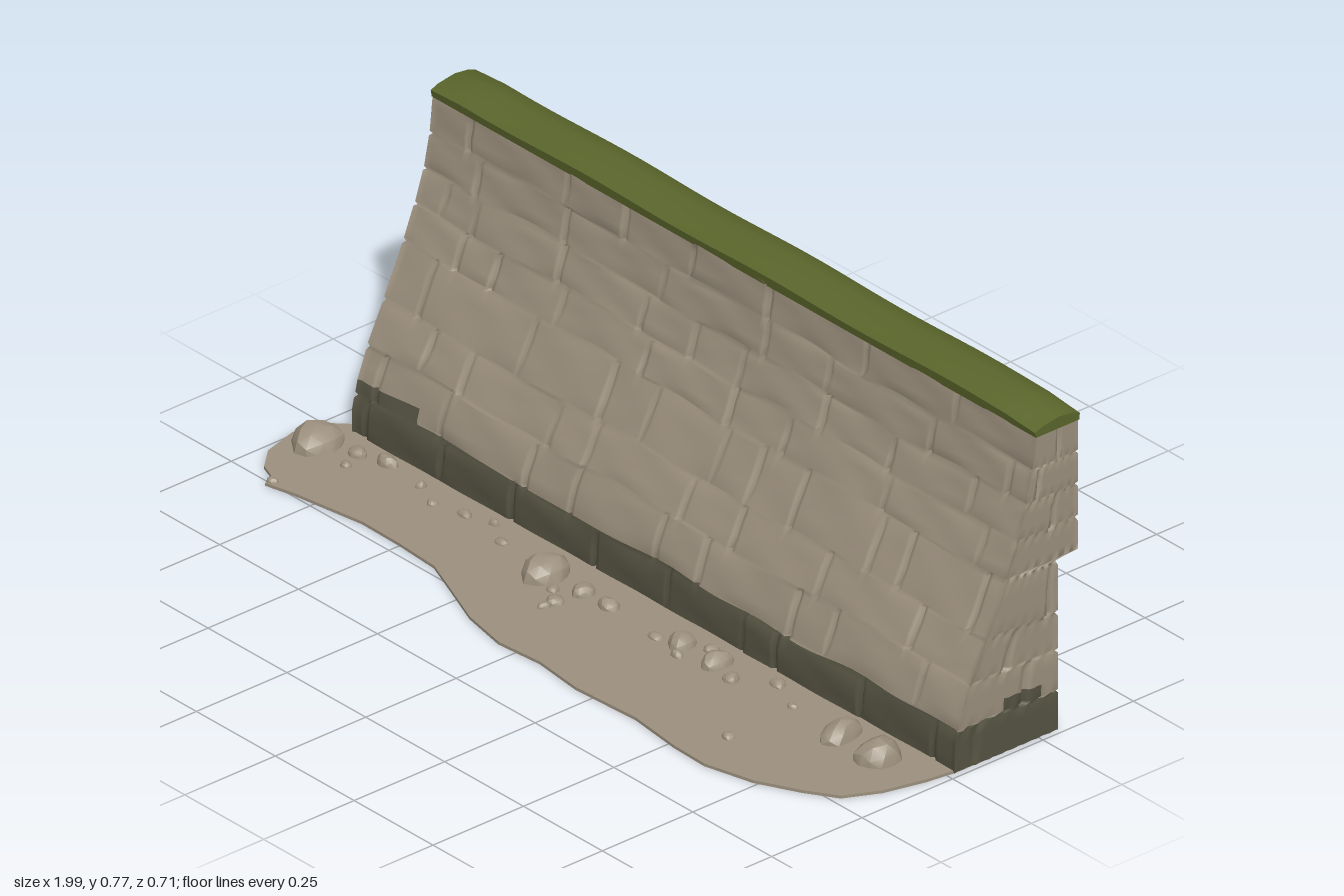
import * as THREE from 'three';
import { toCreasedNormals, mergeGeometries } from 'three/addons/utils/BufferGeometryUtils.js';

const X0 = -0.92, X1 = 0.99;
const COURSES = [0.006, 0.1, 0.2, 0.29, 0.41, 0.49, 0.57, 0.65, 0.735];
// Front slope as [y, z]
const FRONT = [[0, -0.014], [0.08, -0.014], [0.1, -0.022], [0.13, -0.028], [0.2, -0.055], [0.3, -0.105],
  [0.41, -0.155], [0.5, -0.19], [0.57, -0.212], [0.65, -0.228], [0.74, -0.238]];

function seeded(seed) {
  let s = seed;
  return () => (s = (s * 16807) % 2147483647) / 2147483647;
}

function frontZ(y) {
  for (let i = 1; i < FRONT.length; i++) {
    const [ya, za] = FRONT[i - 1], [yb, zb] = FRONT[i];
    if (y <= yb) return za + (zb - za) * (y - ya) / (yb - ya);
  }
  return FRONT[FRONT.length - 1][1];
}
const backZ = (y) => (y < 0.413 ? -0.3 : -0.355); // upper back overhangs in a ledge

// Rows: a groove line at each course boundary and a few rows across each course
function makeRows() {
  const rows = [];
  for (let c = 0; c < COURSES.length - 1; c++) {
    const a = COURSES[c], b = COURSES[c + 1];
    [a, a + 0.006, a + (b - a) / 3, a + (b - a) * 2 / 3, b - 0.006].forEach((y, k) => {
      rows.push({ y, course: c, k, groove: k === 0 && c > 0 ? 0.007 : 0 });
    });
  }
  rows.push({ y: 0.735, course: COURSES.length - 2, k: 5, groove: 0 });
  return rows;
}

// One face of the wall: a grid with mortar grooves and uneven blocks
function wallFace(side, columns, materials) {
  const rnd = seeded(311 + side * 977), rows = makeRows();
  const lengthwise = side % 2 === 0;
  // Vertical joints and block offsets for each course
  const blocks = COURSES.map(() => {
    const joint = {}, offset = [];
    let next = Math.floor(rnd() * 20) + 5, depth = rnd() * 0.004;
    for (let i = 0; i <= columns; i++) {
      if (i === next && i < columns - 2) {
        joint[i] = { from: rnd() < 0.35 ? 2 : 0, to: rnd() < 0.35 ? 3 : 5, depth: 0.006 + rnd() * 0.006 };
        depth = rnd() * 0.004;
        next += lengthwise ? 12 + Math.floor(rnd() * 30) : 99;
      }
      offset.push(depth);
    }
    return { joint, offset };
  });
  const pos = [], index = [[], []];
  rows.forEach(({ y, course, k, groove }) => {
    const zf = frontZ(y), zb = backZ(y);
    for (let i = 0; i <= columns; i++) {
      const u = i / columns, edge = i === 0 || i === columns;
      const { joint, offset } = blocks[course];
      let d = groove * (0.65 + 0.5 * Math.sin(u * 37 + course * 2.3 + side));
      const j = joint[i];
      if (!groove) d = offset[i] + 0.0015 * Math.sin(u * 53 + k * 2 + course * 5);
      if (j && k >= j.from && k <= j.to) d += j.depth;
      if (edge) d = groove * 0.7;
      const g = groove * 0.7;
      const across = X0 + g + u * (X1 - X0 - 2 * g);
      const along = zf - g + u * (zb - zf + 2 * g);
      const x = side === 0 ? across : side === 1 ? X1 - d : side === 2 ? X0 + X1 - across : X0 + d;
      const z = side === 0 ? zf - d : side === 1 ? along : side === 2 ? zb + d : zf + zb - along;
      const wave = y > 0.05 && y < 0.7 ? 0.004 * Math.sin(x * 9 + course) + 0.002 * Math.sin(x * 23 + z * 20) : 0;
      pos.push(x, y + wave, z);
    }
  });
  const w = columns + 1;
  for (let r = 0; r < rows.length - 1; r++) {
    for (let i = 0; i < columns; i++) {
      const a = r * w + i, x = pos[a * 3], z = pos[a * 3 + 2];
      // Damp footing, creeping higher in a few places
      const patch = side === 0 ? x < -0.73 : side === 1 ? z < -0.14 && z > -0.25 : side === 3;
      const damp = rows[r].y < 0.099 || (patch && rows[r].y < 0.11);
      index[damp ? 1 : 0].push(a, a + 1, a + w + 1, a, a + w + 1, a + w);
    }
  }
  const geo = new THREE.BufferGeometry();
  geo.setAttribute('position', new THREE.Float32BufferAttribute(pos, 3));
  geo.setIndex([...index[0], ...index[1]]);
  geo.addGroup(0, index[0].length, 0);
  geo.addGroup(index[0].length, index[1].length, 1);
  geo.computeVertexNormals();
  const mesh = new THREE.Mesh(geo, materials);
  mesh.name = ['wallFront', 'wallLeftEnd', 'wallBack', 'wallRightEnd'][side];
  return mesh;
}

// Rounded moss strip along the top, sagging a little at its ends
function mossCap(material) {
  const outline = [[-0.237, 0.728], [-0.234, 0.75], [-0.255, 0.764], [-0.3, 0.776], [-0.338, 0.768],
    [-0.358, 0.755], [-0.357, 0.728]].map(([z, y]) => new THREE.Vector2(-z, y));
  const geo = new THREE.ExtrudeGeometry(new THREE.Shape(outline), { depth: X1 - X0 + 0.006, steps: 40, bevelEnabled: false });
  geo.rotateY(Math.PI / 2);
  geo.translate(X0 - 0.003, 0, 0);
  const p = geo.attributes.position;
  for (let i = 0; i < p.count; i++) {
    const x = p.getX(i), y = p.getY(i);
    if (y < 0.74) continue;
    const end = Math.max(0, 1 - Math.min(x - X0, X1 - x) / 0.09);
    p.setY(i, y - (y - 0.735) * 0.4 * end + 0.0025 * Math.sin(x * 11) - 0.001);
  }
  const mesh = new THREE.Mesh(toCreasedNormals(geo, 0.6), material);
  mesh.name = 'mossCap';
  return mesh;
}

// Thin irregular apron of earth in front, continuing under the wall
function groundApron(material) {
  const edge = [[-0.93, -0.05], [-0.98, 0], [-1, 0.08], [-0.975, 0.17], [-0.93, 0.22], [-0.89, 0.235], [-0.875, 0.265],
    [-0.8, 0.247], [-0.62, 0.22], [-0.5, 0.222], [-0.38, 0.23], [-0.28, 0.27], [-0.17, 0.315], [-0.05, 0.34], [0.07, 0.33],
    [0.2, 0.345], [0.38, 0.335], [0.52, 0.352], [0.62, 0.355], [0.74, 0.325], [0.84, 0.275], [0.91, 0.23],
    [0.95, 0.15], [0.975, 0.05], [0.985, -0.02], [0.985, -0.295], [-0.915, -0.295], [-0.915, -0.06]];
  const shape = new THREE.Shape(edge.map(([x, z]) => new THREE.Vector2(x, -z)));
  const geo = new THREE.ExtrudeGeometry(shape, { depth: 0.007, bevelEnabled: false });
  geo.rotateX(-Math.PI / 2);
  geo.translate(0, 0.003, 0);
  const mesh = new THREE.Mesh(geo, material);
  mesh.name = 'groundApron';
  return mesh;
}

// Fallen stones: [x, z, x radius, z radius, height]
function rubble(material) {
  const rnd = seeded(42);
  const stones = [[-0.93, 0.075, 0.055, 0.065, 0.05], [-0.2, 0.08, 0.048, 0.06, 0.05], [0.72, 0.065, 0.036, 0.06, 0.04],
    [0.84, 0.065, 0.052, 0.06, 0.05], [0.21, 0.06, 0.032, 0.035, 0.03], [0.32, 0.06, 0.03, 0.042, 0.032],
    [-0.09, 0.07, 0.026, 0.03, 0.025], [-0.01, 0.07, 0.028, 0.022, 0.022], [-0.1, 0.14, 0.022, 0.022, 0.016],
    [-0.84, 0.04, 0.025, 0.02, 0.02], [-0.77, 0.02, 0.03, 0.02, 0.025], [0.39, 0.08, 0.02, 0.02, 0.018]];
  [[-0.65, 0.03], [-0.58, 0.06], [-0.5, 0.04], [-0.43, 0.02], [-0.36, 0.06], [-0.87, 0.25], [-0.1, 0.17], [0.15, 0.08],
    [0.24, 0.1], [0.57, 0.245], [0.56, 0.06], [0.47, 0.02], [0.27, 0.03], [-0.82, 0.09], [-0.14, 0.11]]
    .forEach(([x, z]) => stones.push([x, z, 0.012 + rnd() * 0.01, 0.01 + rnd() * 0.009, 0.01 + rnd() * 0.006]));
  const parts = stones.map(([x, z, rx, rz, h]) => {
    const geo = new THREE.IcosahedronGeometry(1, 1), p = geo.attributes.position;
    const a = rnd() * 6, b = rnd() * 6;
    for (let i = 0; i < p.count; i++) {
      const s = 0.94 + 0.1 * Math.sin(p.getX(i) * 3 + a) * Math.cos(p.getZ(i) * 3 + b);
      p.setXYZ(i, p.getX(i) * s, Math.max(-0.1, p.getY(i) * s), p.getZ(i) * s);
    }
    geo.scale(rx, h, rz);
    geo.translate(x, 0.01, z);
    return toCreasedNormals(geo, 0.5);
  });
  const mesh = new THREE.Mesh(mergeGeometries(parts), material);
  mesh.name = 'rubble';
  return mesh;
}

export function createModel() {
  const paint = (name, color) => Object.assign(new THREE.MeshStandardMaterial({ color }), { name });
  const stone = paint('stone', 0x9c907e);
  const footing = paint('damp footing', 0x555342);
  const moss = paint('moss', 0x5a652b);

  const model = new THREE.Group();
  model.name = 'stoneWall';
  const wall = new THREE.Group();
  wall.name = 'wall';
  for (let side = 0; side < 4; side++) wall.add(wallFace(side, side % 2 ? 24 : 240, [stone, footing]));
  model.add(wall, mossCap(moss), groundApron(stone), rubble(stone));
  return model;
}
